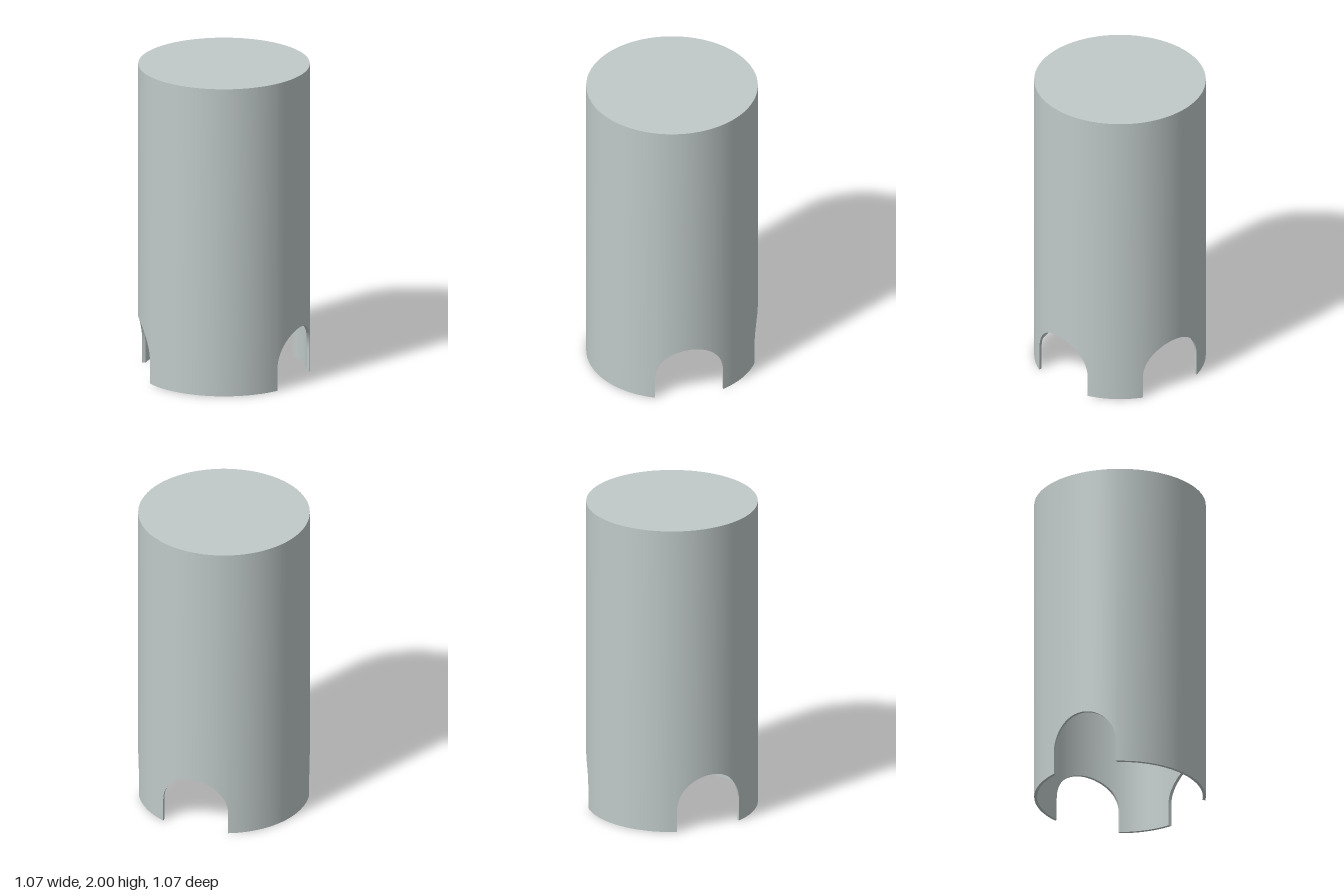
import * as THREE from 'three';
import { toCreasedNormals } from 'three/addons/utils/BufferGeometryUtils.js';

const H = 2, RO = 0.533, RI = 0.515, CEILING = 1.98;
const ARCH_R = 0.216, SPRING = 0.145;        // arch half width and start of its curve
const ARCHES = [-47.5, 38, 184].map(THREE.MathUtils.degToRad);

// Lower edge of the wall, as outer angle, inner angle and height
function lowerEdge() {
  const path = [];
  const arcSteps = 24, archSteps = 28;
  const at = (c, s, y) => path.push({ o: c + Math.asin(s / RO), i: c + Math.asin(s / RI), y });
  ARCHES.forEach((c, k) => {
    at(c, -ARCH_R, 0);
    for (let j = 0; j <= archSteps; j++) {
      const t = (Math.PI * j) / archSteps;
      at(c, -ARCH_R * Math.cos(t), SPRING + ARCH_R * Math.sin(t));
    }
    at(c, ARCH_R, 0);
    // plain foot up to the next arch
    const next = k < 2 ? ARCHES[k + 1] : ARCHES[0] + 2 * Math.PI;
    const a = path[path.length - 1];
    const b = { o: next - Math.asin(ARCH_R / RO), i: next - Math.asin(ARCH_R / RI) };
    for (let j = 1; j < arcSteps; j++) {
      const t = j / arcSteps;
      path.push({ o: a.o + (b.o - a.o) * t, i: a.i + (b.i - a.i) * t, y: 0 });
    }
  });
  path.push({ ...path[0] });
  return path;
}

// Surface between two rows of points
function strip(a, b) {
  const pos = [];
  const put = (...pts) => pts.forEach((p) => pos.push(p.x, p.y, p.z));
  for (let j = 0; j < a.length - 1; j++) {
    put(a[j + 1], a[j], b[j]);
    put(a[j + 1], b[j], b[j + 1]);
  }
  const g = new THREE.BufferGeometry();
  g.setAttribute('position', new THREE.Float32BufferAttribute(pos, 3));
  return toCreasedNormals(g, 0.6);
}

export function createModel() {
  const group = new THREE.Group();
  group.name = 'archedCylinder';
  const grey = new THREE.MeshStandardMaterial({ color: 0xc0c9c9 });
  grey.name = 'paleGrey';
  const add = (name, geometry) => {
    const mesh = new THREE.Mesh(geometry, grey);
    mesh.name = name;
    group.add(mesh);
    return mesh;
  };

  const path = lowerEdge();
  const row = (r, key, y) => path.map((p) =>
    new THREE.Vector3(r * Math.cos(p[key]), y ?? p.y, r * Math.sin(p[key])));
  const outer = row(RO, 'o'), inner = row(RI, 'i');

  // Hollow wall with three arched openings
  add('outerWall', strip(outer, row(RO, 'o', H)));
  add('innerWall', strip(row(RI, 'i', CEILING), inner));
  add('lowerRim', strip(inner, outer));

  // Closed top and the ceiling beneath it
  add('topCap', new THREE.CircleGeometry(RO, 128).rotateX(-Math.PI / 2)).position.y = H;
  add('ceiling', new THREE.CircleGeometry(RI, 128).rotateX(Math.PI / 2)).position.y = CEILING;
  return group;
}
